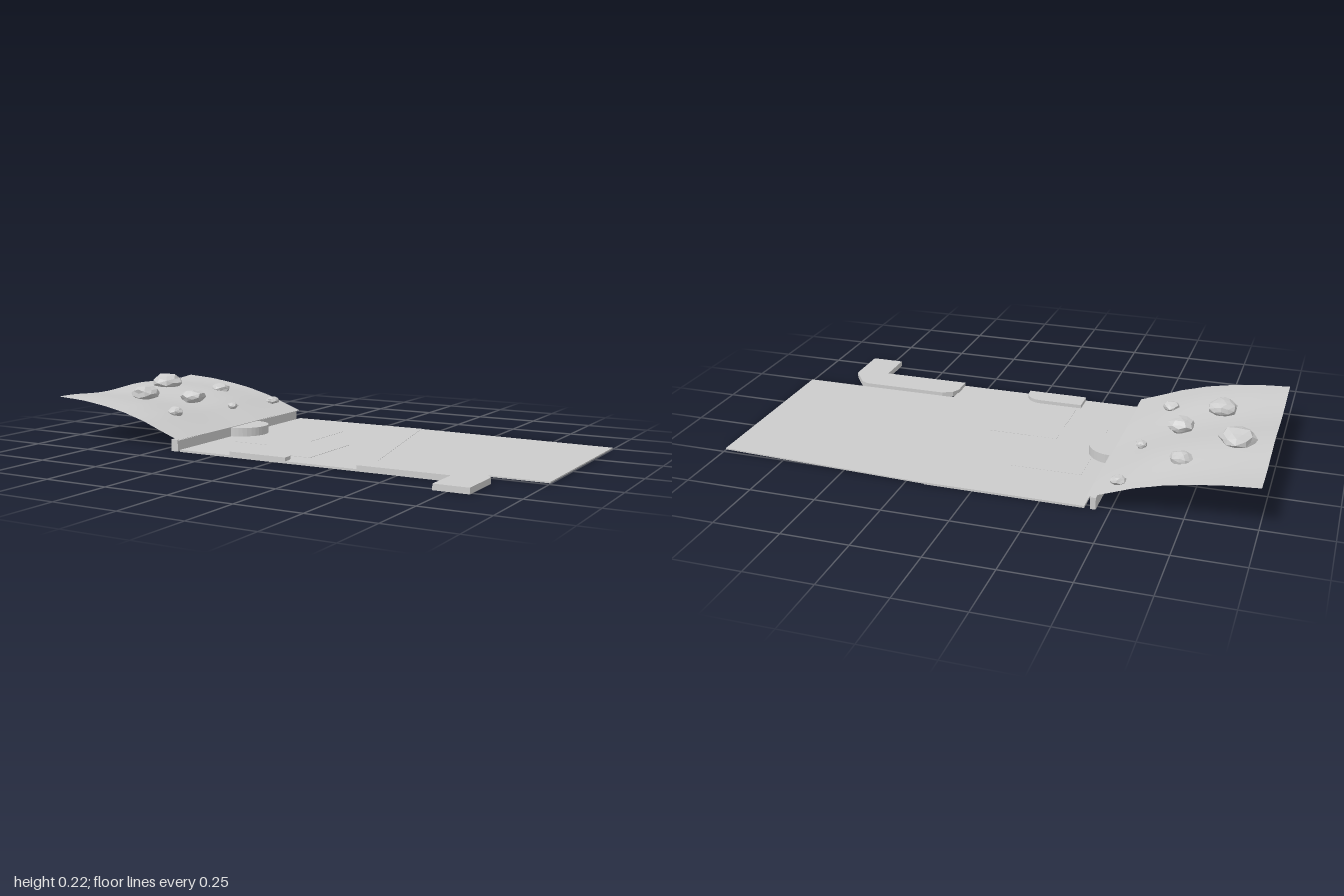
import * as THREE from 'three';

const stone = new THREE.MeshStandardMaterial({ color: 0xcccccc });
stone.name = 'pale grey';
const sheet = new THREE.MeshStandardMaterial({ color: 0xcccccc, side: THREE.DoubleSide });
sheet.name = 'pale grey sheet';
const rock = new THREE.MeshStandardMaterial({ color: 0xcccccc, flatShading: true });
rock.name = 'pale grey rock';

// Flat slab from a plan outline of [x, z] points, between two heights
function slab(name, points, y0, y1) {
  const shape = new THREE.Shape(points.map(([x, z]) => new THREE.Vector2(x, -z)));
  const geo = new THREE.ExtrudeGeometry(shape, { depth: y1 - y0, bevelEnabled: false });
  geo.rotateX(-Math.PI / 2).translate(0, y0, 0);
  const mesh = new THREE.Mesh(geo, stone);
  mesh.name = name;
  return mesh;
}

const rect = (x0, x1, z0, z1) => [[x0, z0], [x1, z0], [x1, z1], [x0, z1]];

// Points on a circular arc in plan
function arc(cx, cz, r, a0, a1, n) {
  return Array.from({ length: n + 1 }, (_, i) => {
    const a = a0 + ((a1 - a0) * i) / n;
    return [cx + r * Math.cos(a), cz + r * Math.sin(a)];
  });
}

// Hillside height: profile across x with a gentle swell along z
const profile = [[-1, 0.168], [-0.88, 0.163], [-0.78, 0.152], [-0.68, 0.136],
  [-0.58, 0.108], [-0.5, 0.076], [-0.415, 0.043]];
function hillHeight(x, z) {
  let i = 0;
  while (i < profile.length - 2 && x > profile[i + 1][0]) i++;
  const [xa, ya] = profile[i], [xb, yb] = profile[i + 1];
  const y = ya + ((yb - ya) * (x - xa)) / (xb - xa);
  const fade = Math.min(1, (-0.415 - x) / 0.25);
  return y + fade * (0.006 * Math.sin(z * 13 + 1.2 + x * 4) - 0.002);
}

function hill() {
  const geo = new THREE.PlaneGeometry(0.585, 0.895, 18, 24);
  geo.rotateX(-Math.PI / 2).translate(-0.7075, 0, -0.0775);
  const p = geo.attributes.position;
  for (let i = 0; i < p.count; i++) p.setY(i, hillHeight(p.getX(i), p.getZ(i)));
  geo.computeVertexNormals();
  const mesh = new THREE.Mesh(geo, sheet);
  mesh.name = 'hillside';
  return mesh;
}

// Faceted boulder with seeded uneven corners
function boulder(x, y, z, r, h, seed) {
  const geo = new THREE.IcosahedronGeometry(1, 1);
  const p = geo.attributes.position;
  const v = new THREE.Vector3();
  for (let i = 0; i < p.count; i++) {
    v.fromBufferAttribute(p, i);
    const n = Math.sin(v.x * 5.1 + seed * 2.3) * Math.sin(v.y * 4.3 + seed) + Math.sin(v.z * 6.7 + seed * 1.7);
    v.multiplyScalar(1 + 0.09 * n);
    p.setXYZ(i, v.x * r, v.y * h, v.z * r);
  }
  geo.computeVertexNormals();
  const mesh = new THREE.Mesh(geo, rock);
  mesh.name = 'boulder';
  mesh.position.set(x, y, z);
  return mesh;
}

export function createModel() {
  const model = new THREE.Group();
  model.name = 'terrain';

  // Level yard and the thinner road beside it
  model.add(slab('yard', [[-0.41, -0.525], [0.18, -0.525], [0.35, 0.24], [0.35, 0.37], [-0.41, 0.37]], 0, 0.008));
  model.add(slab('road', [[0.18, -0.525], [1, -0.485], [1, 0.24], [0.35, 0.24]], 0.002, 0.007));

  // Thin foundation pads
  model.add(slab('largePad', rect(-0.34, -0.07, -0.3, 0.12), 0.0005, 0.0088));
  model.add(slab('smallPad', rect(-0.17, 0.1, -0.03, 0.27), 0.0005, 0.0092));

  // Raised kerb walk and front step
  model.add(slab('kerbWalk', [[0.345, 0.37], [0.345, 0.29], [0.36, 0.26], [0.4, 0.24], [0.74, 0.24],
    [0.77, 0.255], [0.83, 0.34], [0.83, 0.52], [0.7, 0.52], [0.7, 0.37]], 0, 0.022));
  model.add(slab('frontStep', [[-0.185, 0.37], [-0.185, 0.285], ...arc(-0.01, 0.35, 0.065, -Math.PI / 2, 0, 6), [0.055, 0.37]], 0, 0.022));

  // Half-round platform against the retaining wall
  model.add(slab('halfRoundPlatform', [[-0.415, -0.18], ...arc(-0.415, -0.08, 0.1, -Math.PI / 2, Math.PI / 2, 18)], 0, 0.043));

  // Retaining wall with a slightly bowed face
  model.add(slab('retainingWall', [[-0.45, -0.525], [-0.43, -0.525], [-0.418, -0.3], [-0.412, -0.05],
    [-0.412, 0.15], [-0.42, 0.37], [-0.45, 0.37]], 0, 0.045));

  model.add(hill());

  // Boulders: x, y, z, radius, half height
  [
    [-0.875, 0.18, -0.18, 0.065, 0.034],
    [-0.78, 0.17, 0.095, 0.055, 0.031],
    [-0.65, 0.145, -0.055, 0.05, 0.029],
    [-0.7, 0.144, -0.33, 0.04, 0.023],
    [-0.575, 0.115, 0.17, 0.031, 0.02],
    [-0.51, 0.09, -0.455, 0.028, 0.016],
    [-0.53, 0.1, -0.17, 0.021, 0.015],
  ].forEach(([x, y, z, r, h], i) => model.add(boulder(x, y, z, r, h, i + 1)));

  return model;
}
